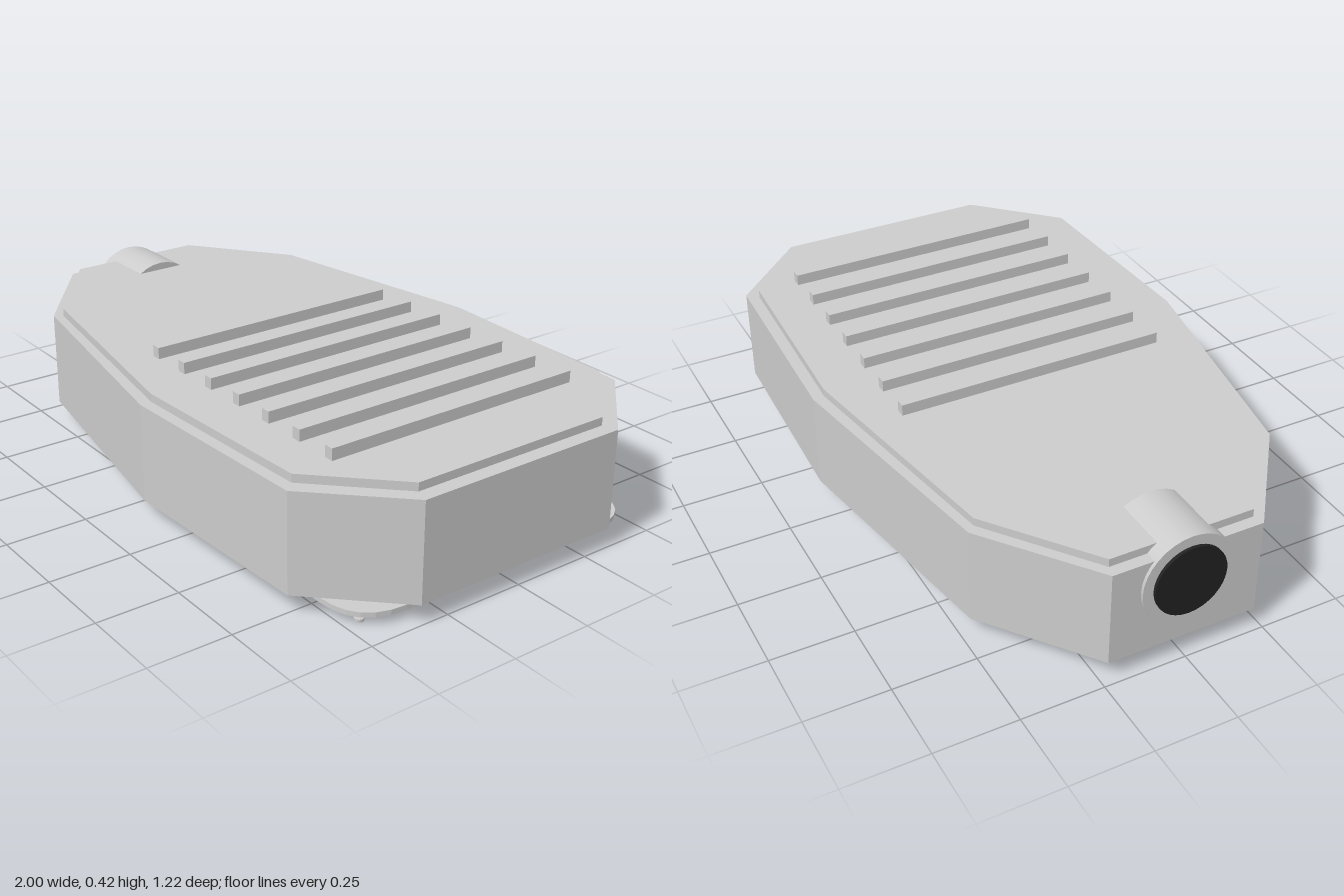
import * as THREE from 'three';

const grey = new THREE.MeshStandardMaterial({ color: 0xcccccc, flatShading: true });
const smooth = new THREE.MeshStandardMaterial({ color: 0xcccccc });
const black = new THREE.MeshStandardMaterial({ color: 0x222222 });

// Half outlines (x, z) from the socket end to the nose, mirrored in z
const BODY = [[-0.98, 0.23], [-0.66, 0.475], [0.1, 0.61], [0.76, 0.585], [1, 0.34]];
const INNER = [[-0.92, 0.2], [-0.63, 0.42], [0.1, 0.55], [0.73, 0.525], [0.94, 0.31]];
const LID = [[-0.945, 0.22], [-0.64, 0.45], [0.1, 0.575], [0.73, 0.55], [0.955, 0.325]];
const DOOR = [[-0.87, 0.17], [-0.66, 0.3], [-0.3, 0.3]];
const GASKET = [[-0.885, 0.19], [-0.67, 0.33], [-0.29, 0.33]];

const mirrored = (half) => [...half, ...half.slice().reverse().map(([x, z]) => [x, -z])]
  .map(([x, z]) => new THREE.Vector2(x, z));

function roundedRect(x0, x1, hz, r) {
  const s = new THREE.Shape();
  s.moveTo(x0 + r, -hz);
  s.lineTo(x1 - r, -hz);
  s.quadraticCurveTo(x1, -hz, x1, -hz + r);
  s.lineTo(x1, hz - r);
  s.quadraticCurveTo(x1, hz, x1 - r, hz);
  s.lineTo(x0 + r, hz);
  s.quadraticCurveTo(x0, hz, x0, hz - r);
  s.lineTo(x0, -hz + r);
  s.quadraticCurveTo(x0, -hz, x0 + r, -hz);
  return s;
}

export function createModel() {
  const model = new THREE.Group();

  function add(name, geometry, material, x = 0, y = 0, z = 0) {
    const mesh = new THREE.Mesh(geometry, material);
    mesh.name = name;
    mesh.position.set(x, y, z);
    model.add(mesh);
    return mesh;
  }

  // Flat slab lying between two heights
  function slab(name, shape, y0, y1, material = grey) {
    const g = new THREE.ExtrudeGeometry(shape, { depth: y1 - y0, bevelEnabled: false, curveSegments: 6 });
    g.rotateX(-Math.PI / 2);
    return add(name, g, material, 0, y0, 0);
  }

  // Hollow housing, open underneath, closed by the lid
  const wall = new THREE.Shape(mirrored(BODY));
  wall.holes.push(new THREE.Path(mirrored(INNER)));
  slab('housingWall', wall, 0.06, 0.36);
  slab('housingRoof', new THREE.Shape(mirrored(BODY)), 0.35, 0.36);
  slab('lid', new THREE.Shape(mirrored(LID)), 0.36, 0.385);

  // Cooling fins
  for (let i = 0; i < 7; i++) {
    add('coolingFin', new THREE.BoxGeometry(0.03, 0.04, 0.85), grey, -0.115 + i * 0.139, 0.4, 0);
  }

  // Pole socket with dark bore
  const socket = new THREE.CylinderGeometry(0.142, 0.142, 0.21, 32).rotateZ(Math.PI / 2);
  add('poleSocket', socket, smooth, -0.885, 0.267, 0);
  const bore = new THREE.CylinderGeometry(0.11, 0.11, 0.02, 32).rotateZ(Math.PI / 2);
  add('socketBore', bore, black, -0.99, 0.267, 0);

  // Lamp window: glass above a rounded frame, held by four screws
  const frame = roundedRect(-0.305, 0.95, 0.505, 0.16);
  frame.holes.push(roundedRect(-0.235, 0.885, 0.44, 0.13));
  slab('windowFrame', frame, 0.025, 0.04);
  slab('windowGlass', roundedRect(-0.25, 0.9, 0.455, 0.13), 0.045, 0.053);
  for (const x of [-0.24, 0.885]) {
    for (const z of [-0.45, 0.45]) {
      add('frameScrew', new THREE.CylinderGeometry(0.014, 0.014, 0.009, 12), smooth, x, 0.0045, z);
    }
  }

  // Service door, its gasket and side latches
  slab('serviceDoor', new THREE.Shape(mirrored(DOOR)), 0.04, 0.05);
  slab('doorGasket', new THREE.Shape(mirrored(GASKET)), 0.056, 0.062, black);
  for (const z of [-0.345, 0.345]) {
    add('doorLatch', new THREE.BoxGeometry(0.12, 0.012, 0.03), grey, -0.55, 0.054, z);
  }

  return model;
}
